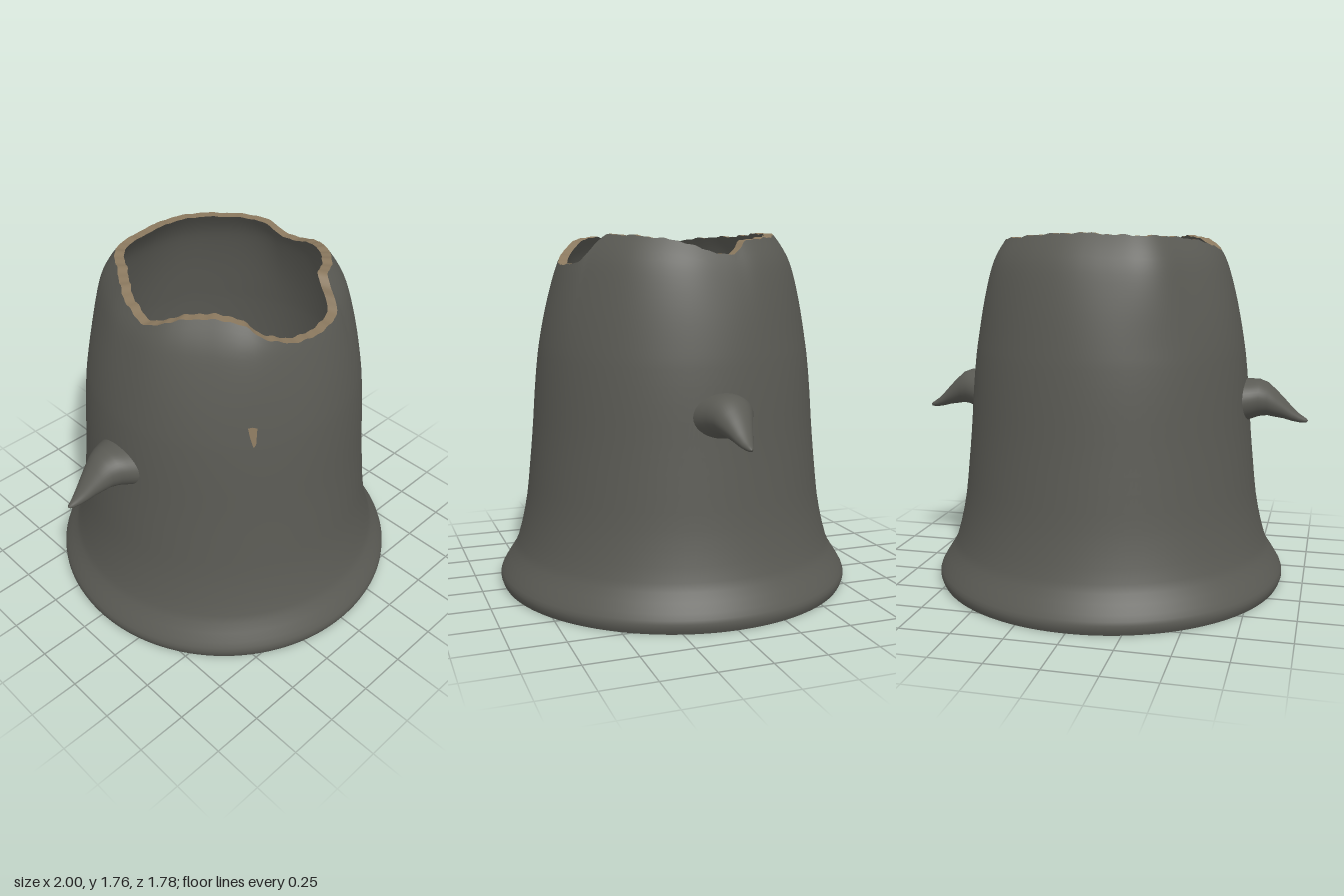
import * as THREE from 'three';

// Skin a list of equal-length closed point rings
function loft(rings, flip = false) {
  const n = rings[0].length, idx = [];
  for (let j = 0; j < rings.length - 1; j++) {
    for (let i = 0; i < n; i++) {
      const k = (i + 1) % n;
      const a = j * n + i, b = j * n + k, c = (j + 1) * n + k, d = (j + 1) * n + i;
      if (flip) idx.push(a, c, b, a, d, c);
      else idx.push(a, b, c, a, c, d);
    }
  }
  const g = new THREE.BufferGeometry().setFromPoints(rings.flat());
  g.setIndex(idx);
  g.computeVertexNormals();
  return g;
}

// Outer bell profile: radius, height
const PROFILE = new THREE.SplineCurve([
  [0.88, 0], [0.892, 0.03], [0.886, 0.065], [0.847, 0.13], [0.803, 0.21], [0.757, 0.4], [0.733, 0.6],
  [0.714, 0.8], [0.699, 1.0], [0.677, 1.2], [0.635, 1.4], [0.572, 1.6], [0.518, 1.7], [0.465, 1.77],
].map(([r, y]) => new THREE.Vector2(r, y))).getPoints(140);

function radiusAt(y) {
  for (let i = 1; i < PROFILE.length; i++) {
    const a = PROFILE[i - 1], b = PROFILE[i];
    if (y <= b.y) return THREE.MathUtils.mapLinear(y, a.y, b.y, a.x, b.x);
  }
  return PROFILE[PROFILE.length - 1].x;
}

// Broken top edge: x, z, height
const RIM = [
  [0, -0.49, 1.757], [-0.15, -0.48, 1.75], [-0.28, -0.46, 1.745], [-0.33, -0.4, 1.745],
  [-0.4, -0.27, 1.735], [-0.48, -0.17, 1.72], [-0.53, -0.03, 1.69], [-0.545, 0.08, 1.675],
  [-0.51, 0.17, 1.71], [-0.42, 0.25, 1.735], [-0.37, 0.33, 1.74], [-0.31, 0.42, 1.73],
  [-0.24, 0.51, 1.665], [-0.1, 0.56, 1.615], [0.02, 0.575, 1.607], [0.2, 0.53, 1.63],
  [0.24, 0.42, 1.74], [0.35, 0.36, 1.745], [0.44, 0.26, 1.735], [0.51, 0.14, 1.715],
  [0.545, 0.02, 1.675], [0.54, -0.1, 1.657], [0.5, -0.18, 1.715], [0.46, -0.27, 1.73],
  [0.38, -0.35, 1.735], [0.29, -0.42, 1.745], [0.15, -0.48, 1.755],
].map(([x, z, y]) => new THREE.Vector3(x, y, z));

// Horn cross-sections: x, centre height, half height, half depth
const HORN = [
  [0.685, 0.937, 0.108, 0.148], [0.72, 0.945, 0.1, 0.133], [0.76, 0.952, 0.092, 0.114],
  [0.8, 0.947, 0.082, 0.095], [0.84, 0.926, 0.068, 0.077], [0.88, 0.903, 0.051, 0.059],
  [0.92, 0.876, 0.035, 0.042], [0.955, 0.857, 0.022, 0.027], [0.98, 0.848, 0.014, 0.016],
  [0.993, 0.845, 0.009, 0.01], [1.0, 0.844, 0.0005, 0.0005],
];

export function createModel() {
  const model = new THREE.Group();
  const shell = new THREE.MeshStandardMaterial({ name: 'dark grey shell', color: 0x5a5a54 });
  const broken = new THREE.MeshStandardMaterial({ name: 'tan broken edge', color: 0x8a785e });
  const add = (name, geometry, material) => {
    const m = new THREE.Mesh(geometry, material);
    m.name = name;
    model.add(m);
    return m;
  };

  // One column per rim sample, with slight chipping of the height
  const COUNT = 200, SPREAD = 6;
  const columns = new THREE.CatmullRomCurve3(RIM, true).getSpacedPoints(COUNT).slice(0, COUNT).map((p, i) => ({
    angle: Math.atan2(p.x, p.z),
    y: Math.min(1.762, p.y + 0.005 * Math.sin(i * 1.1) * Math.sin(i * 0.37 + 1)),
    offset: Math.hypot(p.x, p.z) - radiusAt(p.y),
  }));
  // Smooth the bulge around the neck so the wall stays free of creases
  columns.forEach((c, i) => {
    let sum = 0;
    for (let k = -SPREAD; k <= SPREAD; k++) sum += columns[(i + k + COUNT) % COUNT].offset;
    c.bulge = sum / (2 * SPREAD + 1);
  });

  // Wall rings follow the profile, then rise to meet the broken edge
  const levels = [0, 0.012, 0.03, 0.048, 0.065, 0.09, 0.13, 0.17, 0.21];
  for (let y = 0.28; y < 1.2; y += 0.08) levels.push(y);
  const START = 1.2, STEPS = 16;
  const point = (c, r, y) => new THREE.Vector3(r * Math.sin(c.angle), y, r * Math.cos(c.angle));
  const wall = (thickness) => {
    const radius = (y) => radiusAt(y) - thickness * Math.min(1, y / 0.25);
    const rings = levels.map((y) => columns.map((c) => point(c, radius(y), y)));
    for (let s = 0; s <= STEPS; s++) {
      const t = s / STEPS;
      rings.push(columns.map((c) => {
        const y = START + (c.y - START) * t;
        const rise = THREE.MathUtils.smoothstep(y, START, 1.72);
        return point(c, radius(y) + c.bulge * rise, y);
      }));
    }
    return rings;
  };
  const outer = wall(0), inner = wall(0.046);
  add('outerWall', loft(outer), shell);
  add('innerWall', loft(inner, true), shell);
  add('brokenRim', loft([outer.at(-1), inner.at(-1)]), broken);

  // Drooping side horns
  const hornGeometry = loft(HORN.map(([x, y, h, d]) => Array.from({ length: 40 }, (_, i) => {
    const a = (i / 40) * Math.PI * 2;
    return new THREE.Vector3(x, y + h * Math.cos(a), d * Math.sin(a));
  })));
  add('leftHorn', hornGeometry, shell);
  add('rightHorn', hornGeometry, shell).rotation.y = Math.PI;

  // Small wedge-shaped nick on the front
  const nick = new THREE.ShapeGeometry(new THREE.Shape([
    [-0.383, 1.285], [-0.38, 1.23], [-0.373, 1.185], [-0.362, 1.2], [-0.348, 1.28], [-0.365, 1.288],
  ].map(([x, y]) => new THREE.Vector2(x, y))));
  const p = nick.attributes.position;
  for (let i = 0; i < p.count; i++) {
    const r = radiusAt(p.getY(i)) + 0.007;
    p.setZ(i, Math.sqrt(r * r - p.getX(i) ** 2));
  }
  nick.computeVertexNormals();
  add('frontNick', nick, broken);

  return model;
}
